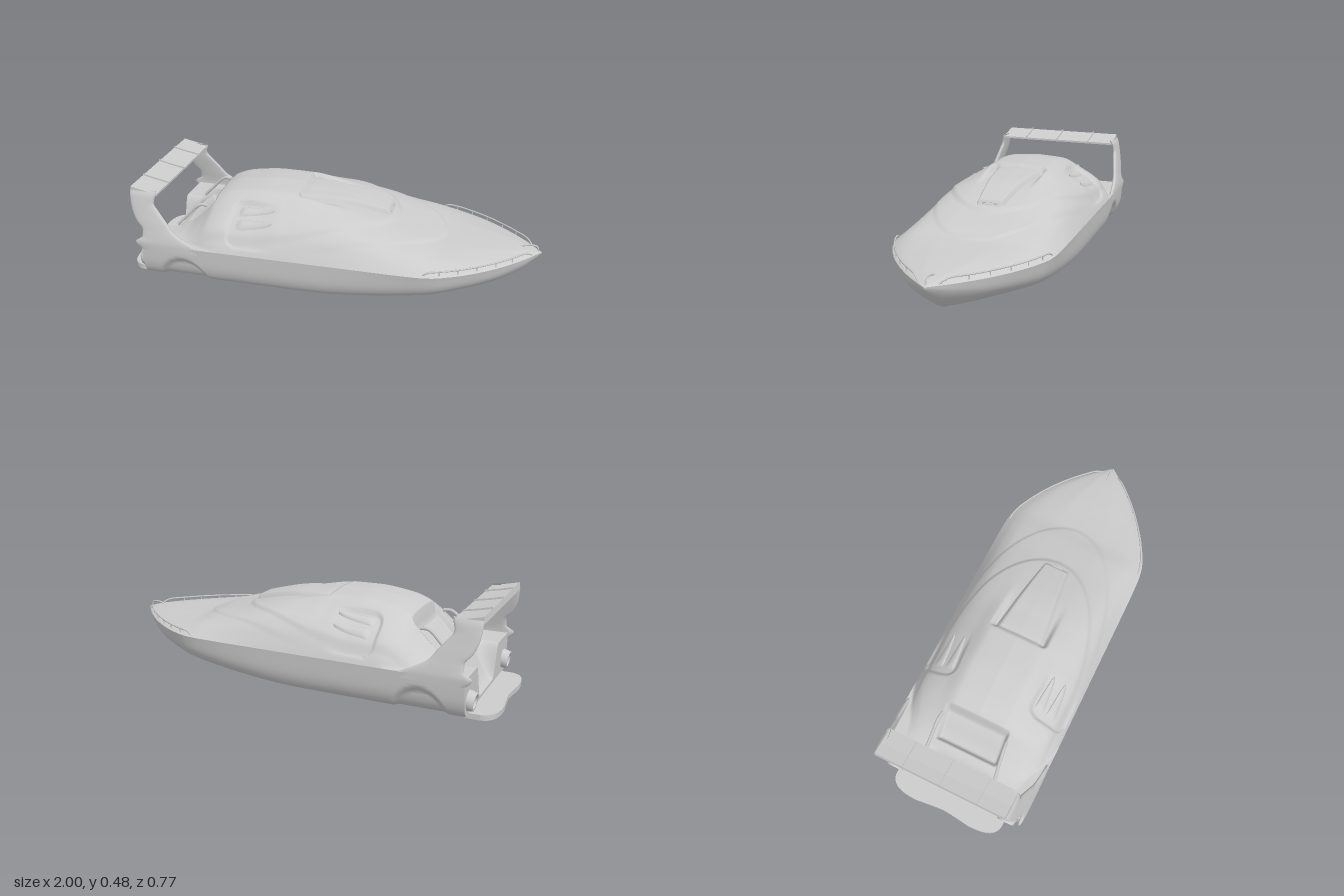
import * as THREE from 'three';

const mat = new THREE.MeshStandardMaterial({ color: 0xcccccc, side: THREE.DoubleSide });
const V = (x, y, z) => new THREE.Vector3(x, y, z);
const smooth = (a, b, x) => THREE.MathUtils.smoothstep(x, a, b);
const lerp = THREE.MathUtils.lerp;

// Monotone cubic lookup through [x, value] pairs
function curve(pts) {
  const d = pts.slice(1).map((p, i) => (p[1] - pts[i][1]) / (p[0] - pts[i][0]));
  const m = pts.map((_, i) => {
    const a = d[Math.max(i - 1, 0)], b = d[Math.min(i, d.length - 1)];
    return a * b <= 0 ? 0 : (2 * a * b) / (a + b);
  });
  return (x) => {
    let i = 0;
    while (i < pts.length - 2 && x > pts[i + 1][0]) i++;
    const h = pts[i + 1][0] - pts[i][0];
    const t = THREE.MathUtils.clamp((x - pts[i][0]) / h, 0, 1), s = 1 - t;
    return (1 + 2 * t) * s * s * pts[i][1] + t * s * s * h * m[i]
      + t * t * (3 - 2 * t) * pts[i + 1][1] - t * t * s * h * m[i + 1];
  };
}

// Surface from a rule fn(u, v) -> Vector3, u and v in 0..1
function sheet(nu, nv, fn) {
  const pos = [], idx = [];
  for (let i = 0; i <= nu; i++) for (let j = 0; j <= nv; j++) pos.push(...fn(i / nu, j / nv).toArray());
  for (let i = 0; i < nu; i++) for (let j = 0; j < nv; j++) {
    const a = i * (nv + 1) + j, b = a + nv + 1;
    idx.push(a, b, a + 1, b, b + 1, a + 1);
  }
  const g = new THREE.BufferGeometry();
  g.setAttribute('position', new THREE.Float32BufferAttribute(pos, 3));
  g.setIndex(idx);
  g.computeVertexNormals();
  return g;
}

// Shared hull and deck lines, all running along x
const X0 = -0.88, SHEER = 0.2;
const halfWidth = curve([[-0.9, 0.378], [-0.5, 0.384], [0.3, 0.384], [0.45, 0.381], [0.52, 0.372],
  [0.6, 0.342], [0.7, 0.287], [0.8, 0.214], [0.9, 0.12], [0.95, 0.063], [1, 0]]);
const keel = curve([[-0.9, 0.002], [0.3, 0.004], [0.5, 0.01], [0.7, 0.024], [0.8, 0.042],
  [0.9, 0.093], [0.95, 0.137], [1, 0.193]]);
const crown = curve([[-0.9, 0.2], [-0.8, 0.205], [-0.7, 0.25], [-0.62, 0.325], [-0.56, 0.385], [-0.45, 0.42],
  [-0.3, 0.437], [-0.155, 0.432], [0, 0.396], [0.1, 0.369], [0.2, 0.345], [0.27, 0.326],
  [0.33, 0.31], [0.45, 0.282], [0.55, 0.255], [0.8, 0.233], [0.93, 0.217], [1, 0.2]]);
const roofSection = curve([[0, 1], [0.33, 0.96], [0.55, 0.77], [0.83, 0.45], [0.96, 0.14], [1, 0]]);
const foreSection = curve([[0, 1], [0.33, 0.98], [0.55, 0.9], [0.73, 0.76], [0.85, 0.53], [0.96, 0.16], [1, 0]]);

// Half hull section, blended from flat-bottomed aft to a flared V at the bow
const aftZ = curve([[0, 0], [0.4, 0.6], [0.55, 0.79], [0.7, 0.91], [0.85, 0.975], [1, 1]]);
const aftY = curve([[0, 0], [0.4, 0.006], [0.55, 0.04], [0.7, 0.17], [0.85, 0.48], [1, 1]]);
const bowZ = curve([[0, 0], [0.3, 0.4], [0.6, 0.76], [0.8, 0.92], [1, 1]]);
const bowY = curve([[0, 0], [0.3, 0.2], [0.6, 0.5], [0.8, 0.73], [1, 1]]);

function hullPoint(x, t) {
  const s = Math.abs(t), b = smooth(-0.1, 1, x), k = keel(x);
  let z = halfWidth(x) * lerp(aftZ(s), bowZ(s), b);
  const y = k + (SHEER - k) * lerp(aftY(s), bowY(s), b);
  // arched scoop low on each side near the stern
  const r = Math.hypot((x + 0.675) / 0.13, y / 0.14);
  z -= 0.02 * (1 - smooth(0.82, 1, r)) * smooth(0.22, 0.3, z);
  return V(x, y, z * Math.sign(t));
}

function deckPoint(x, t) {
  const z = t * halfWidth(x), a = Math.abs(z);
  // the cabin narrows toward the stern
  const s = Math.min(1, Math.abs(t) / lerp(0.78, 1, smooth(-0.78, -0.48, x)));
  const full = smooth(-0.2, 0.15, x) * (1 - smooth(0.5, 0.8, x));
  let y = SHEER + (crown(x) - SHEER) * lerp(roofSection(s), foreSection(s), full);
  // raised cabin outline and the lower brow ahead of it
  y += 0.01 * smooth(-0.72, -0.5, x) * (1 - smooth(0.96, 1, Math.hypot(Math.max(x + 0.3, 0) / 0.63, z / 0.35)));
  y += 0.006 * smooth(-0.3, 0.1, x) * (1 - smooth(0.97, 1, Math.hypot((x + 0.2) / 0.76, z / 0.368)));
  // step down from the roof edge in front of the canopy
  y -= 0.042 * smooth(-0.155, -0.137, x) * (1 - smooth(-0.2, 0.13, x)) * (1 - smooth(0.12, 0.15, a));
  // side window recess, fading out forward
  const win = ((x + 0.32) / 0.14) ** 4 + ((y - 0.315) / 0.085) ** 4;
  y -= 0.016 * (1 - smooth(0.75, 1, win)) * smooth(0.16, 0.2, a) * (1 - smooth(-0.34, -0.2, x));
  // sloping companionway opening, and the ramp down to the platform
  const pit = (1 - smooth(0.148, 0.163, a)) * smooth(-0.72, -0.7, x) * (1 - smooth(-0.58, -0.566, x));
  const ramp = (1 - smooth(0.11, 0.19, a)) * (1 - smooth(-0.8, -0.74, x));
  y = lerp(y, Math.min(y, lerp(0.19, 0.32, smooth(-0.72, -0.55, x))), pit);
  return V(x, lerp(y, lerp(0.04, 0.19, smooth(X0, -0.75, x)), ramp), z);
}
const deckAt = (x, z) => deckPoint(x, z / Math.max(halfWidth(x), 0.001)).y;

export function createModel() {
  const model = new THREE.Group();
  const add = (name, geo, parent = model) => {
    const m = new THREE.Mesh(geo, mat);
    m.name = name;
    parent.add(m);
    return m;
  };
  const tube = (name, pts, r, parent) =>
    add(name, new THREE.TubeGeometry(new THREE.CatmullRomCurve3(pts), pts.length * 4, r, 6), parent);

  // Hull, deck with cabin, and transom
  const along = (u) => X0 + (1 - X0) * u;
  add('hull', sheet(220, 96, (u, v) => hullPoint(along(u), v * 2 - 1)));
  add('deckAndCabin', sheet(240, 110, (u, v) => deckPoint(along(u), 1 - 2 * v)));
  add('transom', sheet(4, 96, (u, v) =>
    hullPoint(X0, 1 - 2 * v).lerp(deckPoint(X0, 1 - 2 * v), u)));

  // Raised tapering panel on the cabin front, with a small intake in its nose
  add('cabinPanel', sheet(56, 28, (u, v) => {
    const x = -0.16 + 0.455 * u, s = 1 - 2 * v, z = s * (0.13 - 0.065 * u);
    const lift = 0.026 * (1 - smooth(0.82, 1, Math.abs(s))) * (1 - smooth(0.272, 0.288, x)) * smooth(-0.16, -0.13, x);
    return V(x, deckAt(x, z) + lift - 0.003, z);
  }));
  const intake = add('intake', new THREE.TorusGeometry(0.02, 0.004, 8, 20));
  intake.rotation.y = Math.PI / 2;
  intake.scale.set(1.6, 0.35, 1);
  intake.position.set(0.28, 0.349, 0);

  // Swim platform with rounded lobes
  const plan = new THREE.Shape();
  plan.moveTo(-0.86, -0.29);
  plan.lineTo(-0.93, -0.29);
  plan.bezierCurveTo(-0.99, -0.28, -1, -0.22, -1, -0.14);
  plan.quadraticCurveTo(-0.99, -0.07, -0.985, 0);
  plan.quadraticCurveTo(-0.99, 0.07, -1, 0.14);
  plan.bezierCurveTo(-1, 0.22, -0.99, 0.28, -0.93, 0.29);
  plan.lineTo(-0.86, 0.29);
  const platform = add('swimPlatform', new THREE.ExtrudeGeometry(plan, { depth: 0.025, bevelEnabled: false, curveSegments: 10 }));
  platform.rotation.x = Math.PI / 2;
  platform.position.y = 0.025;

  // Arch leg outline by height: [y, aft x, fore x, outer z]
  const rows = [[0.17, -0.88, -0.56, 0.384], [0.205, -0.91, -0.6, 0.385], [0.235, -0.872, -0.66, 0.381],
    [0.27, -0.87, -0.715, 0.374], [0.31, -0.9, -0.745, 0.366], [0.36, -0.922, -0.785, 0.355],
    [0.4, -0.93, -0.812, 0.347], [0.44, -0.933, -0.803, 0.338], [0.455, -0.933, -0.8, 0.33]];
  const [aft, fore, outer] = [1, 2, 3].map((k) => curve(rows.map((r) => [r[0], r[k]])));
  const legGeo = (side) => sheet(28, 20, (u, v) => {
    const y = 0.17 + 0.285 * u, a = v * Math.PI * 2, c = Math.cos(a), s = Math.sin(a);
    const x = (aft(y) + fore(y)) / 2 + c * (fore(y) - aft(y)) / 2;
    return V(x, y, side * (outer(y) - 0.012) + 0.012 * Math.sign(s) * Math.sqrt(Math.abs(s)));
  });

  for (const side of [1, -1]) {
    const half = new THREE.Group();
    half.name = side > 0 ? 'starboardFittings' : 'portFittings';
    model.add(half);
    add('archLeg', legGeo(side), half);

    // jet nozzle at the stern corner
    const nozzle = add('nozzle', new THREE.LatheGeometry([[0.028, -0.03], [0.03, 0.04], [0.042, 0.04],
      [0.046, 0.015], [0.046, -0.06]].map((p) => new THREE.Vector2(...p)), 24), half);
    nozzle.rotation.z = Math.PI / 2 + 0.15;
    nozzle.position.set(-0.87, 0.09, side * 0.3);

    // bow rail following the deck edge
    const edge = (x, y) => V(x, y, side * (halfWidth(x) - 0.012));
    const path = [edge(0.48, 0.203), edge(0.51, 0.222)];
    for (let x = 0.56; x < 0.91; x += 0.05) path.push(edge(x, 0.226));
    path.push(edge(0.93, 0.224), edge(0.955, 0.204));
    tube('bowRail', path, 0.004, half);
    for (const x of [0.56, 0.64, 0.72, 0.8, 0.87]) {
      add('railPost', new THREE.CylinderGeometry(0.003, 0.003, 0.03, 6), half).position.copy(edge(x, 0.212));
    }

    // handrail beside the companionway
    tube('handrail', [V(-0.77, 0.22, side * 0.18), V(-0.72, 0.27, side * 0.175),
      V(-0.65, 0.335, side * 0.17), V(-0.61, 0.335, side * 0.165)], 0.008, half);

    // forward-pointing window fingers, lying in the recess
    for (const z of [0.235, 0.295]) {
      add('windowFinger', sheet(16, 12, (u, v) => {
        const x = -0.42 + 0.18 * u, s = 1 - 2 * v, zz = side * z + s * 0.024 * Math.sqrt(1 - u);
        return V(x, deckAt(x, zz) + 0.012 * Math.sqrt(1 - s * s) * smooth(0, 0.15, u) - 0.001, zz);
      }), half);
    }
  }

  // Sloping arch beam and its ribs
  const bar = (name, depth, z, grow) => {
    const s = new THREE.Shape([[-0.935, 0.44], [-0.8, 0.433], [-0.8, 0.443 + grow], [-0.875, 0.458 + grow],
      [-0.93, 0.471 + grow]].map((p) => new THREE.Vector2(...p)));
    const g = new THREE.ExtrudeGeometry(s, { depth, bevelEnabled: false });
    add(name, g.translate(0, 0, z - depth / 2));
  };
  bar('archBeam', 0.645, 0, 0);
  for (const z of [-0.185, 0, 0.185]) bar('archRib', 0.005, z, 0.008);

  // Staff on the nose
  tube('bowStaff', [V(0.9, 0.218, 0), V(0.93, 0.229, 0), V(0.975, 0.228, 0), V(0.985, 0.203, 0)], 0.004);
  return model;
}
